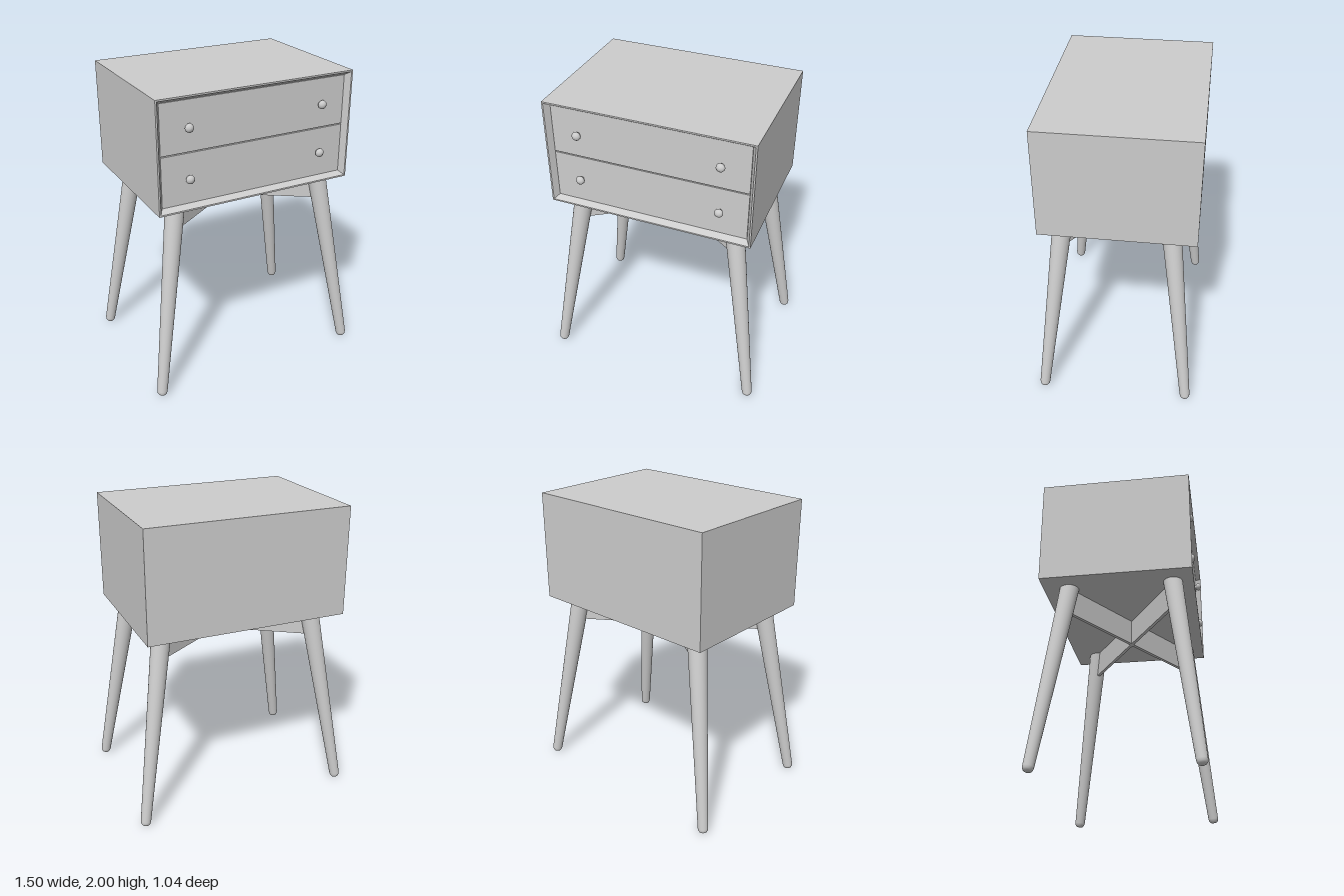
import * as THREE from 'three';

const BOTTOM = 1.285, TOP = 2, CX = -0.01;

// Rectangular rings [halfWidth, yLow, yHigh, z] joined in order by flat faces, with the last ring capped
function loftRects(rings) {
  const corners = rings.map(([w, y0, y1, z]) => [
    [CX - w, y0, z], [CX + w, y0, z], [CX + w, y1, z], [CX - w, y1, z],
  ]);
  const pos = [];
  const quad = (a, b, c, d) => pos.push(...a, ...b, ...c, ...a, ...c, ...d);
  for (let r = 0; r < corners.length - 1; r++) {
    const p = corners[r], q = corners[r + 1];
    for (let i = 0; i < 4; i++) {
      const j = (i + 1) % 4;
      quad(p[i], p[j], q[j], q[i]);
    }
  }
  quad(...corners[corners.length - 1]);
  const geo = new THREE.BufferGeometry();
  geo.setAttribute('position', new THREE.Float32BufferAttribute(pos, 3));
  geo.computeVertexNormals();
  return geo;
}

export function createModel() {
  const group = new THREE.Group();
  const paint = new THREE.MeshStandardMaterial({ color: 0xcccccc });
  paint.name = 'light grey';

  const add = (name, geo, x = 0, y = 0, z = 0) => {
    const mesh = new THREE.Mesh(geo, paint);
    mesh.name = name;
    mesh.position.set(x, y, z);
    group.add(mesh);
    return mesh;
  };

  // Cabinet: closed back, thin front rim, bevel sloping in to a recessed front
  const midY = (BOTTOM + TOP) / 2;
  add('cabinet', loftRects([
    [0, midY, midY, -0.505],
    [0.67, BOTTOM, TOP, -0.505],
    [0.67, BOTTOM, TOP, 0.473],
    [0.66, BOTTOM + 0.01, TOP - 0.01, 0.473],
    [0.636, 1.317, 1.967, 0.435],
    [0.636, 1.317, 1.967, 0.42],
  ]));

  // Two drawer fronts, each with a pair of round knobs
  const knobProfile = [[0.012, 0], [0.012, 0.008], [0.022, 0.014], [0.028, 0.024],
    [0.026, 0.036], [0.018, 0.044], [0.008, 0.048], [0, 0.049]]
    .map(([x, y]) => new THREE.Vector2(x, y));
  const knobGeo = new THREE.LatheGeometry(knobProfile, 24).rotateX(Math.PI / 2);
  for (const [y0, y1, knobY] of [[1.319, 1.64, 1.483], [1.647, 1.965, 1.803]]) {
    add('drawerFront', new THREE.BoxGeometry(1.268, y1 - y0, 0.016), CX, (y0 + y1) / 2, 0.427);
    for (const side of [-1, 1]) add('knob', knobGeo, CX + side * 0.459, knobY, 0.435);
  }

  // Four splayed, tapered legs with rounded feet
  const foot = new THREE.Vector3(0.721, 0.005, 0.49);
  const hip = new THREE.Vector3(0.507, 1.36, 0.33);
  const length = foot.distanceTo(hip);
  const legProfile = [[0, 0], [0.015, 0.001], [0.024, 0.006], [0.031, 0.016],
    [0.034, 0.032], [0.0635, length], [0, length]]
    .map(([x, y]) => new THREE.Vector2(x, y));
  const legGeo = new THREE.LatheGeometry(legProfile, 32);
  const up = new THREE.Vector3(0, 1, 0);
  for (const sx of [-1, 1]) {
    for (const sz of [-1, 1]) {
      const mirror = new THREE.Vector3(sx, 1, sz);
      const start = foot.clone().multiply(mirror);
      const axis = hip.clone().multiply(mirror).sub(start).normalize();
      const leg = add(sz > 0 ? 'frontLeg' : 'backLeg', legGeo, start.x, start.y, start.z);
      leg.quaternion.setFromUnitVectors(up, axis);
    }
  }

  // Crossed braces joining opposite legs under the cabinet
  const braceGeo = new THREE.BoxGeometry(1.23, 0.175, 0.022);
  for (const side of [-1, 1]) {
    add('crossBrace', braceGeo, 0, 1.1975, 0).rotation.y = side * Math.atan2(0.34, 0.517);
  }
  return group;
}
